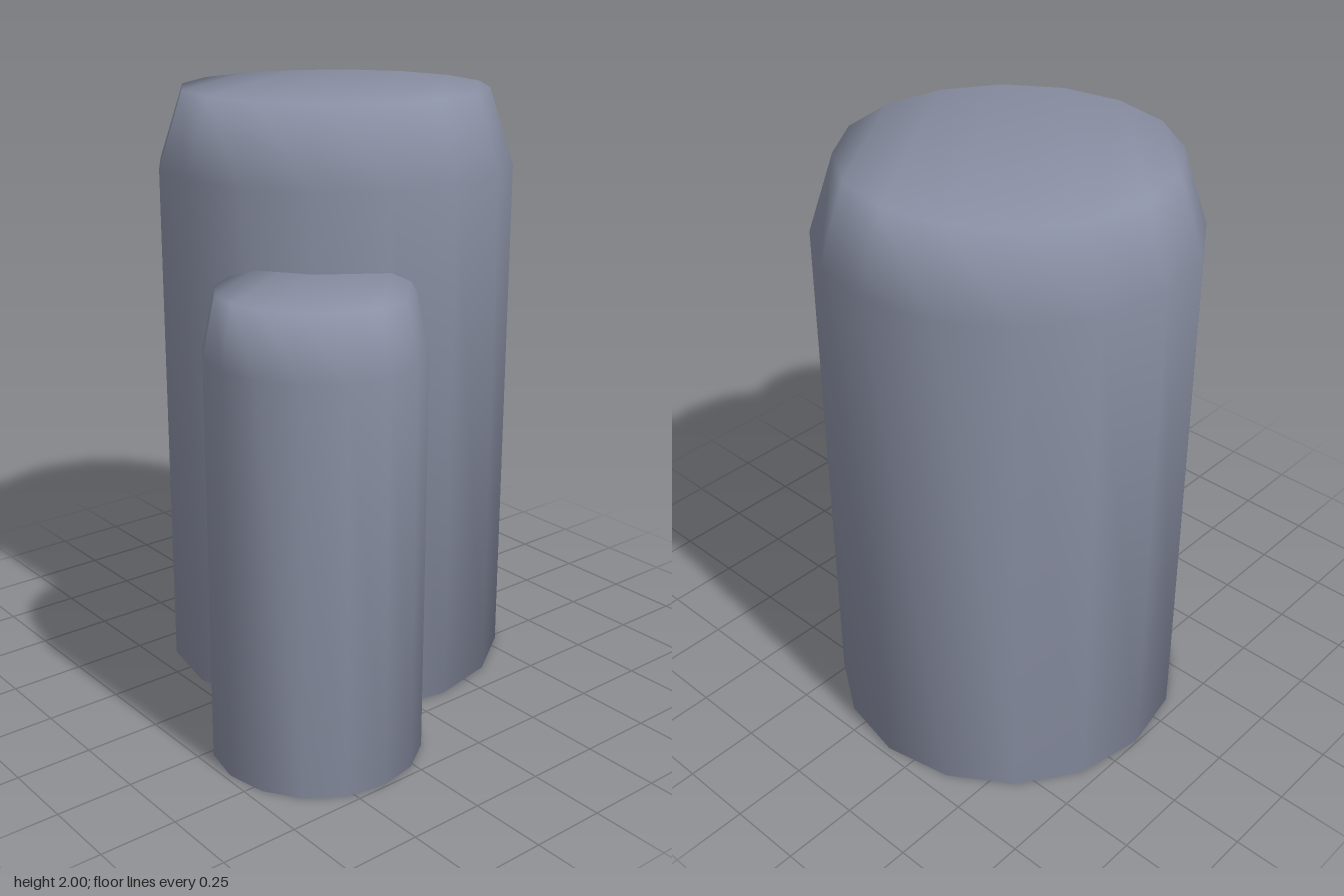
import * as THREE from 'three';

const SIDES = 16;

// Closed column with a chamfered top; vertices are shared so shading is smooth across every edge.
function columnGeometry(rings) {
  const positions = [];
  const index = [];
  for (const [radius, y] of rings) {
    for (let i = 0; i < SIDES; i++) {
      const a = (i / SIDES) * Math.PI * 2;
      positions.push(radius * Math.cos(a), y, radius * Math.sin(a));
    }
  }
  const vertex = (ring, i) => ring * SIDES + (i + SIDES) % SIDES;

  // walls
  for (let r = 0; r < rings.length - 1; r++) {
    for (let i = 0; i < SIDES; i++) {
      index.push(vertex(r, i), vertex(r + 1, i), vertex(r + 1, i + 1));
      index.push(vertex(r, i), vertex(r + 1, i + 1), vertex(r, i + 1));
    }
  }

  // flat end, filled with parallel strips starting from one rim vertex
  const cap = (ring, start, up) => {
    const face = (a, b, c) => {
      const t = [a, b, c].map((i) => vertex(ring, start + i));
      index.push(...(up ? t.reverse() : t));
    };
    const half = SIDES / 2;
    for (let k = 0; k < half; k++) {
      if (k > 0) face(-k, k, k + 1);
      if (k < half - 1) face(-k, k + 1, -k - 1);
    }
  };
  cap(0, 6, false);
  cap(rings.length - 1, 2, true);

  const geometry = new THREE.BufferGeometry();
  geometry.setAttribute('position', new THREE.Float32BufferAttribute(positions, 3));
  geometry.setIndex(index);
  geometry.computeVertexNormals();
  return geometry;
}

export function createModel() {
  const model = new THREE.Group();
  const stone = new THREE.MeshStandardMaterial({ color: 0x8a90a4 });
  stone.name = 'blue grey stone';

  const addColumn = (name, x, z, rings) => {
    const mesh = new THREE.Mesh(columnGeometry(rings), stone);
    mesh.name = name;
    mesh.position.set(x, 0, z);
    model.add(mesh);
  };

  addColumn('tallColumn', 0.13, -0.15, [[0.595, 0], [0.595, 1.75], [0.512, 2]]);
  addColumn('shortColumn', -0.393, 0.403, [[0.339, 0], [0.339, 1.31], [0.298, 1.5]]);
  return model;
}
